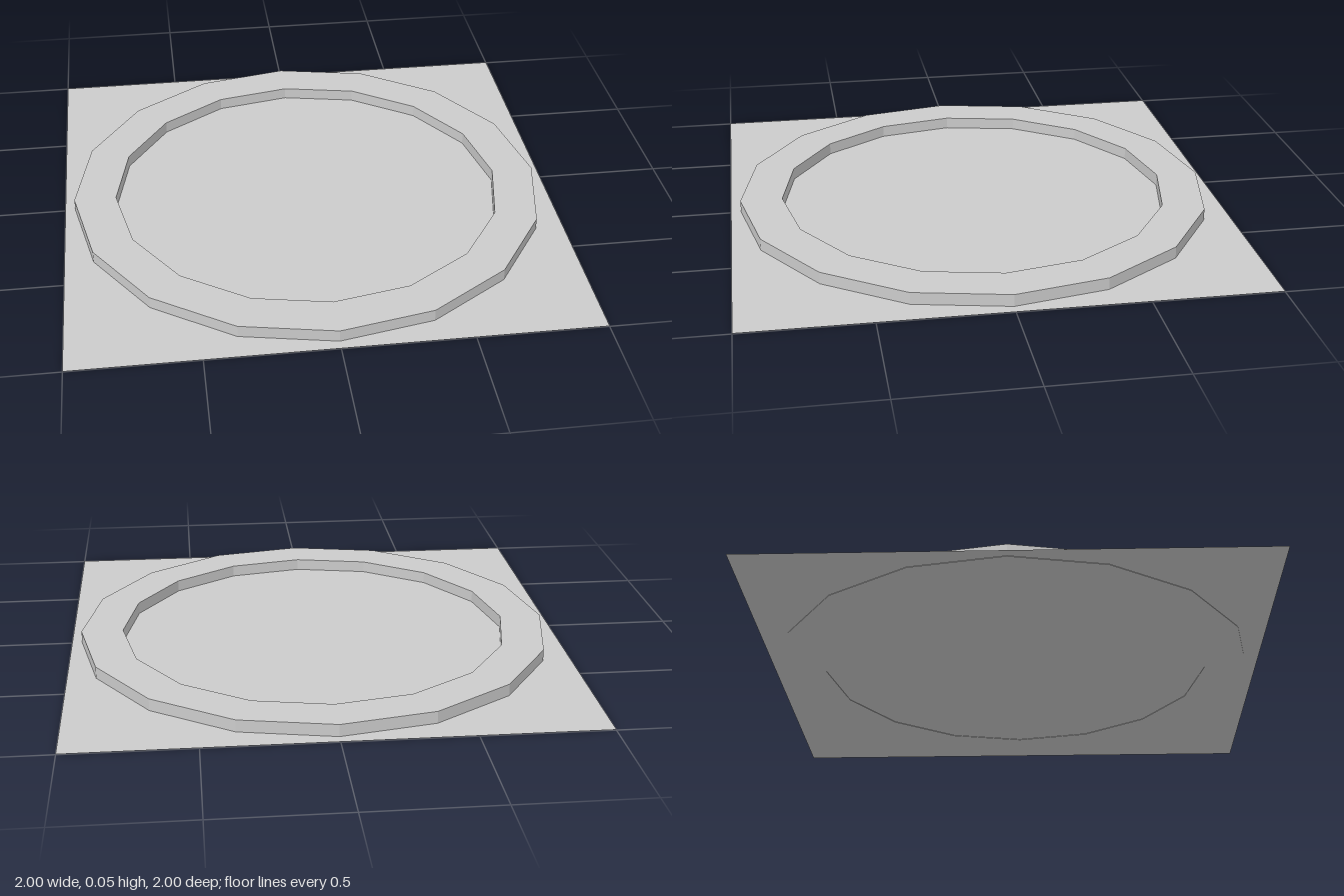
import * as THREE from 'three';

const SIDES = 16;
const OUTER_RADIUS = 0.96;
const INNER_RADIUS = 0.79;
const RING_HEIGHT = 0.05;

// Corners of a regular polygon with a corner on each axis
function polygon(radius) {
  return Array.from({ length: SIDES }, (_, i) => {
    const angle = (i / SIDES) * Math.PI * 2;
    return new THREE.Vector2(Math.cos(angle) * radius, Math.sin(angle) * radius);
  });
}

export function createModel() {
  const group = new THREE.Group();
  const material = new THREE.MeshStandardMaterial({
    color: 0xcccccc, flatShading: true, side: THREE.DoubleSide,
  });

  // Thin square sheet, just above the underside of the ring
  const sheet = new THREE.PlaneGeometry(2, 2);
  sheet.rotateX(-Math.PI / 2).translate(0, 0.002, 0);
  const base = new THREE.Mesh(sheet, material);
  base.name = 'basePlate';
  group.add(base);

  // Raised faceted ring
  const outline = new THREE.Shape(polygon(OUTER_RADIUS));
  outline.holes.push(new THREE.Path(polygon(INNER_RADIUS)));
  const rim = new THREE.ExtrudeGeometry(outline, { depth: RING_HEIGHT, bevelEnabled: false });
  rim.rotateX(-Math.PI / 2);
  const ring = new THREE.Mesh(rim, material);
  ring.name = 'raisedRing';
  group.add(ring);

  return group;
}
